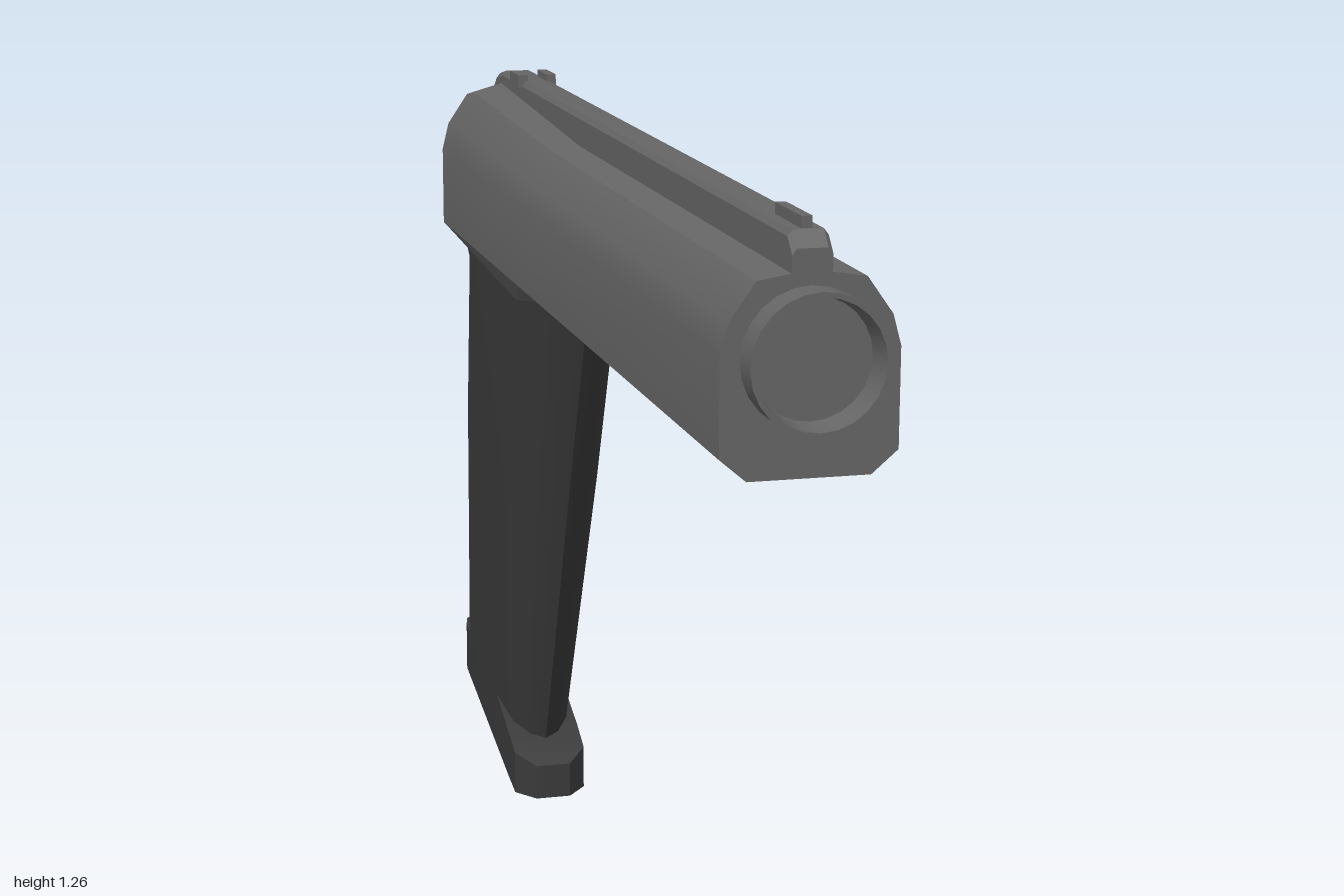
import * as THREE from 'three';
import { toCreasedNormals } from 'three/addons/utils/BufferGeometryUtils.js';
import { ConvexGeometry } from 'three/addons/geometries/ConvexGeometry.js';

const bodyMat = new THREE.MeshStandardMaterial({ color: 0x666666 });
const gripMat = new THREE.MeshStandardMaterial({ color: 0x3a3a3a });

// Skin a list of closed rings (equal point counts), cap both ends, face outward
function loft(rings, crease = 0.5) {
  const tris = [];
  const n = rings[0].length;
  for (let r = 0; r < rings.length - 1; r++) {
    for (let i = 0; i < n; i++) {
      const j = (i + 1) % n;
      const [a, b, c, d] = [rings[r][i], rings[r][j], rings[r + 1][j], rings[r + 1][i]];
      tris.push([a, b, c], [a, c, d]);
    }
  }
  const first = rings[0], last = rings[rings.length - 1];
  for (let i = 1; i < n - 1; i++) {
    tris.push([first[0], first[i + 1], first[i]], [last[0], last[i], last[i + 1]]);
  }
  const v = (p) => new THREE.Vector3(...p);
  const volume = tris.reduce((s, [a, b, c]) => s + v(a).dot(v(b).cross(v(c))), 0);
  const pos = tris.flatMap((t) => (volume < 0 ? [t[0], t[2], t[1]] : t)).flat();
  const g = new THREE.BufferGeometry();
  g.setAttribute('position', new THREE.Float32BufferAttribute(pos, 3));
  return toCreasedNormals(g, crease);
}

// Close a half outline by mirroring it across x
const mirror = (half) => [
  ...half,
  ...half.slice().reverse().filter((p) => p[0] !== 0).map(([x, y, z]) => [-x, y, z]),
];

export function createModel() {
  const model = new THREE.Group();
  const add = (name, geometry, material) => {
    const mesh = new THREE.Mesh(geometry, material);
    mesh.name = name;
    model.add(mesh);
    return mesh;
  };
  const box = (name, w, y0, y1, z0, z1, x = 0) => {
    const g = new THREE.BoxGeometry(w, y1 - y0, Math.abs(z1 - z0));
    g.translate(x, (y0 + y1) / 2, (z0 + z1) / 2);
    return add(name, g, bodyMat);
  };

  // Long body, its crown rising slightly to the rear: [z, crown rise]
  const bodyRings = [[0.955, 0], [-0.15, 0], [-0.74, 0.028], [-0.825, 0.012]].map(([z, up]) =>
    mirror([
      [0.08, 0.94, z], [0.115, 0.97, z], [0.115, 1.1, z],
      [0.104, 1.14 + up * 0.4, z], [0.07, 1.188 + up * 0.6, z], [0.026, 1.195 + up, z],
    ]));
  add('body', loft(bodyRings), bodyMat);

  // Raised rib along the crown
  const ribRings = [[0.955, 1.225], [0.935, 1.245], [-0.73, 1.245], [-0.78, 1.235], [-0.825, 1.2]].map(
    ([z, top]) => mirror([[0.026, 1.17, z], [0.026, top - 0.008, z], [0.02, top, z]]));
  add('topRib', loft(ribRings, 0.4), bodyMat);

  // Front ring with a shallow recess
  const ring = new THREE.LatheGeometry(
    [[0.09, 0.94], [0.09, 1], [0.083, 1], [0.078, 0.958], [0, 0.958]]
      .map(([r, h]) => new THREE.Vector2(r, h)), 24);
  ring.rotateX(Math.PI / 2);
  ring.translate(0, 1.09, 0);
  add('frontRing', toCreasedNormals(ring, 0.5), bodyMat);

  // Sights
  box('frontSight', 0.014, 1.235, 1.26, 0.93, 0.82);
  for (const s of [-1, 1]) box('rearSight', 0.016, 1.235, 1.256, -0.57, -0.64, s * 0.024);

  // Flared shoulder between body and grip
  const shoulder = [
    [0.08, 0.945, -0.2], [0.115, 0.97, -0.2], [0.078, 0.91, -0.38],
    [0.08, 0.945, -0.6], [0.115, 0.97, -0.82], [0.08, 0.945, -0.82],
  ].flatMap(([x, y, z]) => [new THREE.Vector3(x, y, z), new THREE.Vector3(-x, y, z)]);
  add('shoulder', toCreasedNormals(new ConvexGeometry(shoulder), 0.3), bodyMat);

  // Raked grip, rounded in front and bevelled behind: [front y, front z, back y, back z, half width]
  const gripRings = [
    [0.955, -0.197, 0.955, -0.81, 0.08],
    [0.6, -0.34, 0.64, -0.86, 0.078],
    [0.085, -0.54, 0.17, -0.95, 0.063],
  ].map(([yf, zf, yb, zb, w]) => {
    const at = (x, z) => [x * w, yf + ((yb - yf) * (z - zf)) / (zb - zf), z];
    return mirror([
      at(0, zf), at(0.4, zf - 0.015), at(0.75, zf - 0.05), at(1, zf - 0.13),
      at(1, zb + 0.045), at(0.45, zb),
    ]);
  });
  add('grip', loft(gripRings), gripMat);

  // Rear slope flowing out to a spur: [y, back z, front half width, back half width]
  const spurRing = ([y, z, wf, wb]) => [
    [wf, y, -0.79], [wb, y, z], [-wb, y, z], [-wf, y, -0.79],
  ];
  add('rearSlope', loft([
    [1.13, -0.823, 0.105, 0.1], [1.06, -0.835, 0.112, 0.095],
    [1.0, -0.865, 0.112, 0.075], [0.968, -0.915, 0.1, 0.066], [0.948, -0.96, 0.08, 0.058],
  ].map(spurRing), 0.6), bodyMat);
  add('spurUnderside', loft([
    [0.948, -0.959, 0.078, 0.057], [0.8, -0.893, 0.045, 0.036], [0.655, -0.83, 0.02, 0.015],
  ].map(spurRing)), gripMat);

  // Sloping base plate with tapered ends: [z, bottom, top, half width]
  const baseRings = [
    [-0.48, 0, 0.06, 0.03], [-0.51, 0.004, 0.078, 0.062], [-0.56, 0.016, 0.1, 0.063],
    [-0.65, 0.036, 0.135, 0.063], [-0.94, 0.098, 0.185, 0.062],
    [-0.97, 0.105, 0.187, 0.055], [-1, 0.125, 0.187, 0.03],
  ].map(([z, lo, hi, w]) => mirror([[w, lo, z], [w, hi, z]]));
  add('basePlate', loft(baseRings, 0.3), gripMat);

  return model;
}
